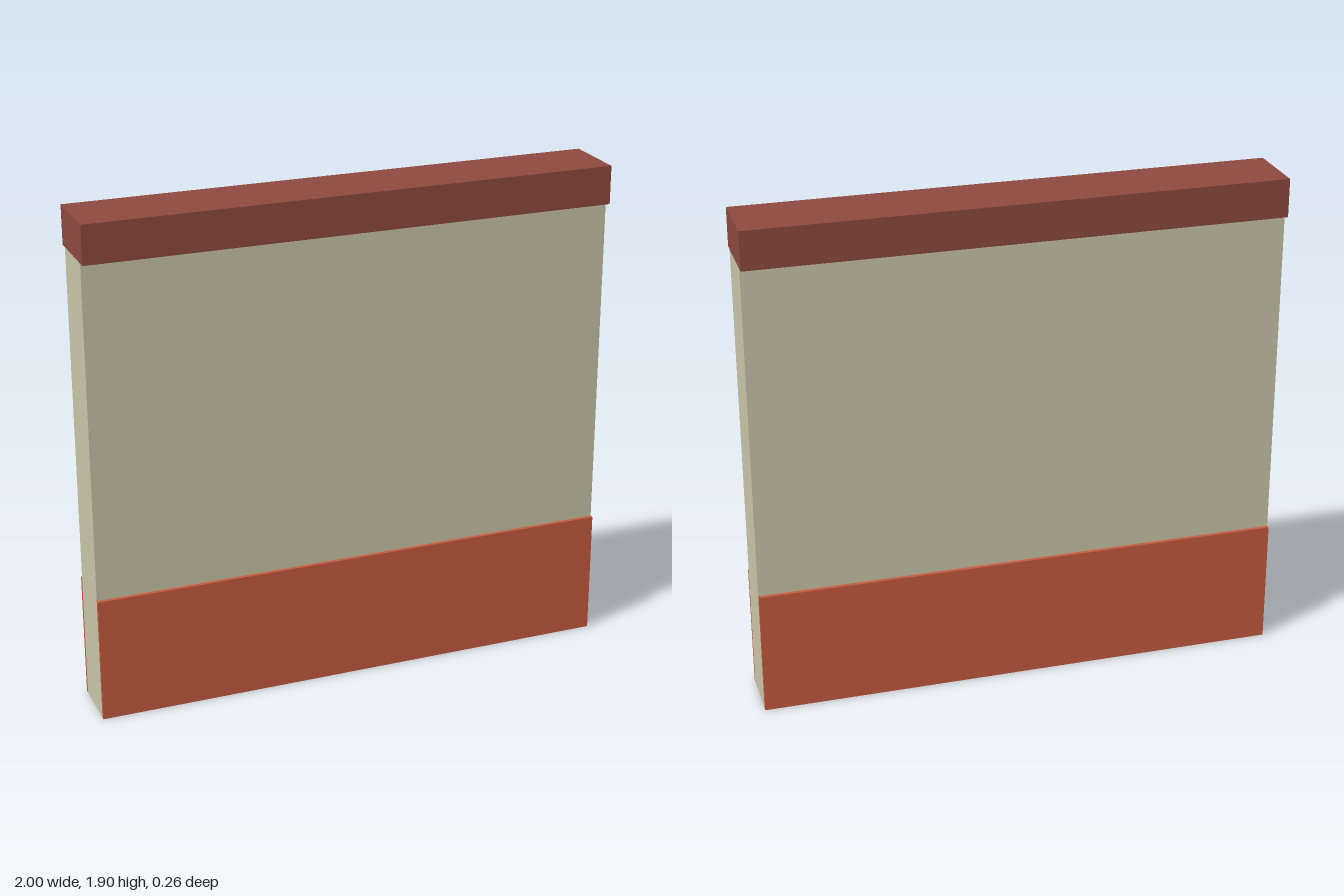
import * as THREE from 'three';

const cream = new THREE.MeshStandardMaterial({ name: 'cream plaster', color: 0xcac6a9, side: THREE.DoubleSide });
const orange = new THREE.MeshStandardMaterial({ name: 'terracotta', color: 0xc65b3f });
const brown = new THREE.MeshStandardMaterial({ name: 'red brown', color: 0x8e4a40 });

const LENGTH = 2, WALL_DEPTH = 0.2, STRIP = 0.015;
const BASE_TOP = 0.48, WALL_TOP = 1.755, CAP_TOP = 1.9;

// Box spanning y0..y1, centred on z
function block(name, material, y0, y1, depth, z = 0) {
  const mesh = new THREE.Mesh(new THREE.BoxGeometry(LENGTH, y1 - y0, depth), material);
  mesh.name = name;
  mesh.position.set(0, (y0 + y1) / 2, z);
  return mesh;
}

export function createModel() {
  const group = new THREE.Group();
  group.name = 'wallSection';

  // Hollow wall: drop the top and bottom faces so it is open below
  const wall = block('wall', cream, 0, WALL_TOP, WALL_DEPTH);
  const index = Array.from(wall.geometry.index.array);
  wall.geometry.setIndex(index.filter((_, i) => i < 12 || i >= 24));
  wall.geometry.clearGroups();
  group.add(wall);

  // Base strips on both faces
  for (const [name, side] of [['frontBaseStrip', 1], ['backBaseStrip', -1]]) {
    group.add(block(name, orange, 0, BASE_TOP, STRIP, side * (WALL_DEPTH + STRIP) / 2));
  }

  // Overhanging cap
  group.add(block('cap', brown, WALL_TOP, CAP_TOP, 0.26));
  return group;
}
